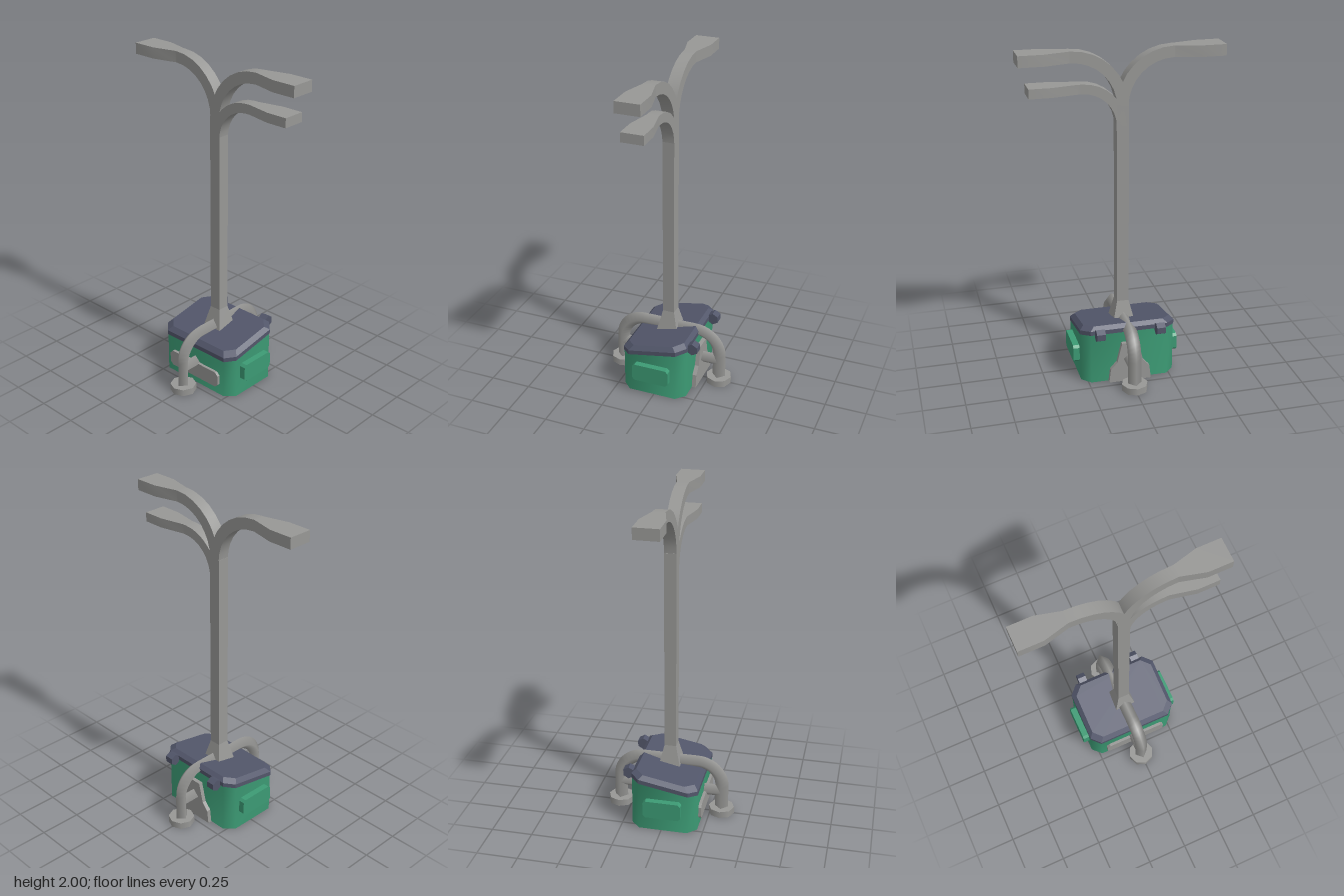
import * as THREE from 'three';
import { toCreasedNormals } from 'three/addons/utils/BufferGeometryUtils.js';

const V = (x, y, z) => new THREE.Vector3(x, y, z);

// Closed solid through a stack of equal-sized rings (counter-clockwise seen from the end)
function loft(rings, crease) {
  const pos = [];
  const tri = (...pts) => pts.forEach((p) => pos.push(p.x, p.y, p.z));
  const n = rings[0].length;
  for (let i = 0; i < rings.length - 1; i++) {
    for (let j = 0; j < n; j++) {
      const k = (j + 1) % n;
      const [a, b, c, d] = [rings[i][j], rings[i][k], rings[i + 1][k], rings[i + 1][j]];
      tri(a, b, c);
      tri(a, c, d);
    }
  }
  const first = rings[0], last = rings[rings.length - 1];
  for (let j = 1; j < n - 1; j++) {
    tri(first[0], first[j + 1], first[j]);
    tri(last[0], last[j], last[j + 1]);
  }
  const g = new THREE.BufferGeometry();
  g.setAttribute('position', new THREE.Float32BufferAttribute(pos, 3));
  g.computeVertexNormals();
  return toCreasedNormals(g, crease);
}

// Rectangle with cut corners in plan; yAt gives the height for each x
function octagon(inset, yAt) {
  const x0 = -0.215 + inset, x1 = 0.193 - inset, z = 0.29 - inset, c = 0.053;
  return [[x1, z - c], [x1, c - z], [x1 - c, -z], [x0 + c, -z],
    [x0, c - z], [x0, z - c], [x0 + c, z], [x1 - c, z]].map(([x, w]) => V(x, yAt(x), w));
}

const square = (r, y) => [V(r, y, r), V(r, y, -r), V(-r, y, -r), V(-r, y, r)];

// Curved arm that rises, bends towards +z and widens into a flat paddle
function armGeometry({ base, bendZ, radius, half, end, flareStart, flareEnd, paddle }) {
  const rings = [];
  const add = (y, z, angle, w) => {
    const ny = Math.sin(angle) * half, nz = -Math.cos(angle) * half;
    rings.push([[1, -1], [1, 1], [-1, 1], [-1, -1]].map(([s, t]) => V(s * w, y + t * ny, z + t * nz)));
  };
  const steps = 8;
  for (let i = 0; i <= steps; i++) {
    const a = (i / steps) * Math.PI / 2;
    add(base + radius * Math.sin(a), bendZ - radius * Math.cos(a), a, 0.036);
  }
  const top = base + radius;
  add(top, flareStart, Math.PI / 2, 0.036);
  add(top, flareEnd, Math.PI / 2, paddle);
  add(top, end, Math.PI / 2, paddle);
  return loft(rings, 0.3);
}

// Flat plate with the given outline, extruded along +z
function plate(points, depth) {
  const shape = new THREE.Shape(points.map(([x, y]) => new THREE.Vector2(x, y)));
  return new THREE.ExtrudeGeometry(shape, { depth, bevelEnabled: false });
}

function cutRect(w, h, c) {
  return [[-w, c - h], [c - w, -h], [w - c, -h], [w, c - h], [w, h - c], [w - c, h], [c - w, h], [-w, h - c]];
}

export function createModel() {
  const model = new THREE.Group();
  const material = (name, color) => {
    const m = new THREE.MeshStandardMaterial({ color });
    m.name = name;
    return m;
  };
  const green = material('green', 0x3c9a74);
  const slate = material('slate', 0x52566a);
  const grey = material('grey', 0x979795);
  const add = (name, geometry, mat, x = 0, y = 0, z = 0) => {
    const mesh = new THREE.Mesh(geometry, mat);
    mesh.name = name;
    mesh.position.set(x, y, z);
    model.add(mesh);
    return mesh;
  };

  // Housing with a sloping lid
  const slope = (lift) => (x) => 0.246 + (x + 0.215) * 0.185 + lift;
  add('housing', loft([octagon(0.003, () => 0.002), octagon(0.003, slope(0))], 0.9), green);
  add('lid', loft([octagon(0, slope(0)), octagon(0, slope(0.027)), octagon(0.025, slope(0.052))], 0.3), slate);
  add('basePatch', new THREE.BoxGeometry(0.17, 0.006, 0.16), grey, -0.04, 0.003, 0);

  // Raised grips on front and back, hinges on the left edge
  for (const s of [1, -1]) {
    const grip = add('grip', plate(cutRect(0.115, 0.055, 0.015), 0.045), green, -0.01, 0.16, s * 0.28);
    if (s < 0) grip.rotation.y = Math.PI;
    const hinge = add('hinge', new THREE.CylinderGeometry(0.038, 0.038, 0.053, 6).toNonIndexed(), slate, 0.217, 0.33, s * 0.184);
    hinge.geometry.computeVertexNormals();
    hinge.rotation.x = Math.PI / 2;
  }

  // Side mounting plates
  const half = [[0.13, 0], [0.12, 0.085], [0.08, 0.13], [0.05, 0.255]];
  const outline = [...half, ...half.map(([z, y]) => [-z, y]).reverse()];
  add('leftPlate', plate(outline, 0.03), grey, 0.185).rotation.y = Math.PI / 2;
  add('rightPlate', plate(cutRect(0.2, 0.05, 0.02), 0.025), grey, -0.205, 0.105).rotation.y = -Math.PI / 2;

  // Pipe arch over the housing
  const path = new THREE.CurvePath();
  const bend = 0.15, legX = 0.32, topY = 0.34, k = bend * 0.45;
  path.add(new THREE.LineCurve3(V(-legX, 0.02, 0), V(-legX, topY - bend, 0)));
  path.add(new THREE.CubicBezierCurve3(V(-legX, topY - bend, 0), V(-legX, topY - k, 0),
    V(-legX + k, topY, 0), V(-legX + bend, topY, 0)));
  path.add(new THREE.LineCurve3(V(-legX + bend, topY, 0), V(legX - bend, topY, 0)));
  path.add(new THREE.CubicBezierCurve3(V(legX - bend, topY, 0), V(legX - k, topY, 0),
    V(legX, topY - k, 0), V(legX, topY - bend, 0)));
  path.add(new THREE.LineCurve3(V(legX, topY - bend, 0), V(legX, 0.02, 0)));
  add('pipeArch', new THREE.TubeGeometry(path, 48, 0.041, 4), grey);

  // Feet and short cross pipes
  for (const s of [1, -1]) {
    add('foot', new THREE.CylinderGeometry(0.079, 0.079, 0.042, 8), grey, s * legX, 0.021, 0);
    const brace = new THREE.LineCurve3(V(s * 0.19, 0.152, 0), V(s * legX, 0.152, 0));
    add('crossPipe', new THREE.TubeGeometry(brace, 1, 0.04, 4), grey);
  }

  // Post with a flared base
  add('post', loft([square(0.065, 0.325), square(0.036, 0.45), square(0.036, 1.68)], 0.1), grey, -0.002);

  // Two tall arms and one lower arm
  const tall = armGeometry({ base: 1.67, bendZ: 0.297, radius: 0.297, half: 0.033,
    end: 0.595, flareStart: 0.305, flareEnd: 0.45, paddle: 0.073 });
  add('frontArm', tall, grey, -0.002);
  add('backArm', tall, grey, -0.002).rotation.y = Math.PI;
  const low = armGeometry({ base: 1.555, bendZ: 0.235, radius: 0.228, half: 0.028,
    end: 0.54, flareStart: 0.26, flareEnd: 0.41, paddle: 0.067 });
  add('lowerArm', low, grey, -0.002);

  return model;
}
